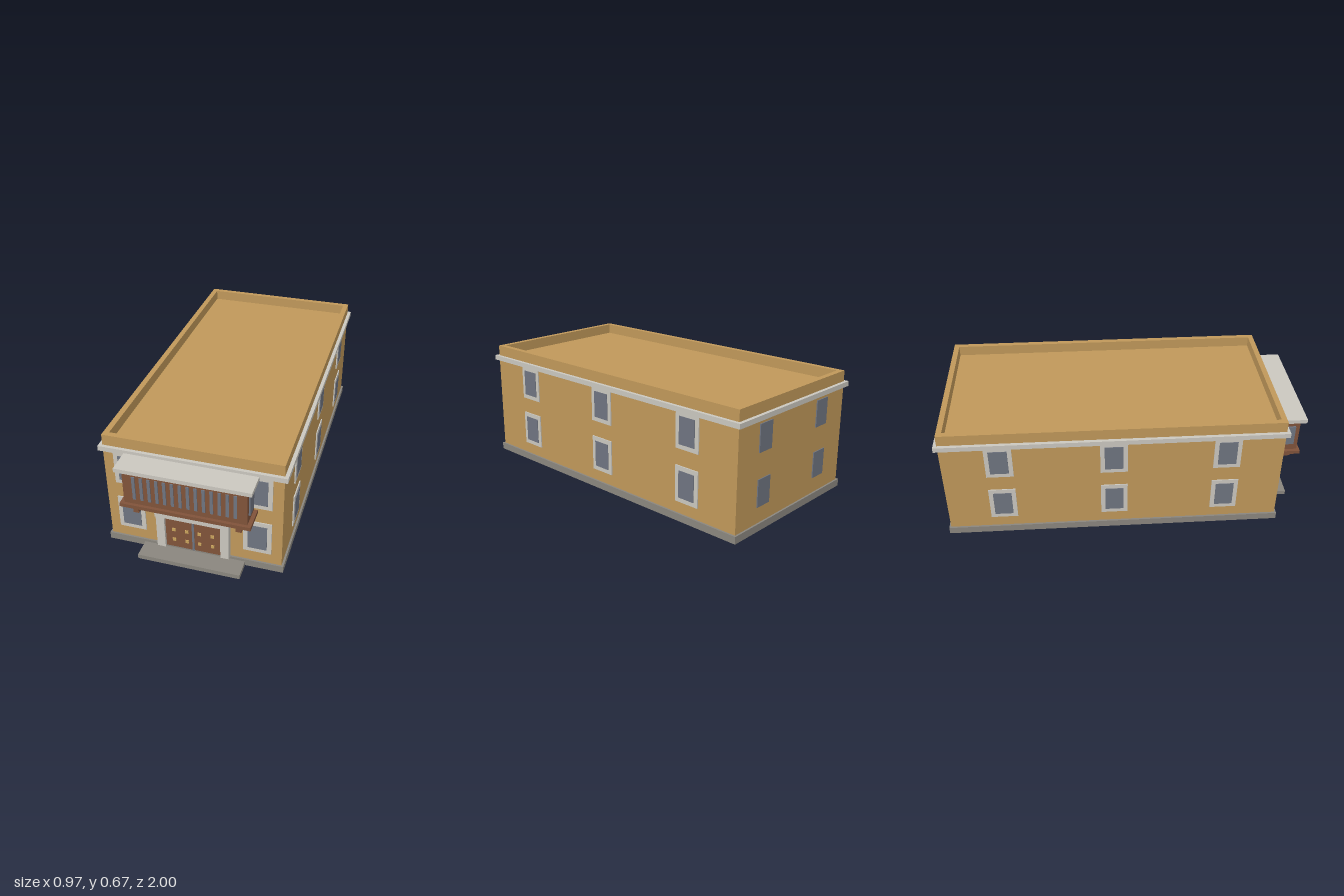
import * as THREE from 'three';

const mat = (name, color) => {
  const m = new THREE.MeshStandardMaterial({ color });
  m.name = name;
  return m;
};

export function createModel() {
  const model = new THREE.Group();
  model.name = 'building';
  const wall = mat('ochre wall', 0xc0985a);
  const stone = mat('pale stone', 0xcac7bf);
  const base = mat('grey base', 0x8a867e);
  const wood = mat('brown wood', 0x80533a);
  const glass = mat('grey glass', 0x6f7480);
  const brass = mat('brass', 0xc9a35c);

  // Box given by its minimum and maximum on each axis
  const box = (name, material, x0, x1, y0, y1, z0, z1, parent = model) => {
    const mesh = new THREE.Mesh(new THREE.BoxGeometry(x1 - x0, y1 - y0, z1 - z0), material);
    mesh.position.set((x0 + x1) / 2, (y0 + y1) / 2, (z0 + z1) / 2);
    mesh.name = name;
    parent.add(mesh);
    return mesh;
  };

  const W = 0.465, front = 0.853, back = -0.981, mid = (front + back) / 2;

  // Main block
  box('plinth', base, -0.476, 0.476, 0, 0.04, back - 0.01, front + 0.01);
  box('frontStep', base, -0.275, 0.275, 0, 0.025, front, 0.967);
  box('walls', wall, -W, W, 0.04, 0.6, back, front);
  box('cornice', stone, -0.484, 0.484, 0.586, 0.613, -1, 0.871);
  box('roof', wall, -W, W, 0.6, 0.615, back, front);

  // Parapet ring around the flat roof
  const t = 0.03;
  for (const s of [-1, 1]) {
    const x = s * (W - t / 2);
    box('parapetSide', wall, x - t / 2, x + t / 2, 0.615, 0.673, back, front);
  }
  box('parapetFront', wall, -W + t, W - t, 0.615, 0.673, front - t, front);
  box('parapetBack', wall, -W + t, W - t, 0.615, 0.673, back, back + t);

  // Windows: a thin frame plate with a slightly prouder pane
  const addWindow = (x, y, z, turn, framed) => {
    const g = new THREE.Group();
    g.name = 'window';
    if (framed) box('windowFrame', stone, -0.0735, 0.0735, -0.098, 0.098, -0.004, 0.006, g);
    box('windowPane', glass, -0.05, 0.05, -0.0735, 0.0735, -0.003, framed ? 0.009 : 0.006, g);
    g.position.set(x, y, z);
    g.rotation.y = turn;
    model.add(g);
  };
  for (const y of [0.203, 0.49]) {
    for (const s of [-1, 1]) {
      addWindow(s * 0.337, y, front, 0, true);
      addWindow(s * 0.25, y, back, Math.PI, false);
      for (const dz of [-0.611, 0, 0.611]) addWindow(s * W, y, mid + dz, s * Math.PI / 2, true);
    }
  }

  // Entrance with double doors
  const entrance = new THREE.Group();
  entrance.name = 'entrance';
  model.add(entrance);
  box('lintel', stone, -0.198, 0.198, 0.241, 0.282, front, 0.892, entrance);
  box('doorGap', glass, -0.006, 0.006, 0.04, 0.241, front, 0.873, entrance);
  for (const s of [-1, 1]) {
    const pillar = box('doorPillar', stone, -0.0225, 0.0225, 0.04, 0.241, front, 0.886, entrance);
    pillar.position.x = s * 0.172;
    const leaf = box('doorLeaf', wood, -0.072, 0.072, 0.04, 0.241, front, 0.869, entrance);
    leaf.position.x = s * 0.078;
    for (const x of [0.034, 0.104]) for (const y of [0.091, 0.158]) {
      const stud = box('doorStud', brass, -0.009, 0.009, y - 0.009, y + 0.009, 0.868, 0.874, entrance);
      stud.position.x = s * x;
    }
  }

  // Enclosed balcony
  const balcony = new THREE.Group();
  balcony.name = 'balcony';
  model.add(balcony);
  box('balconyFloor', wood, -0.336, 0.336, 0.357, 0.377, front, 0.989, balcony);
  box('balconyBody', wood, -0.316, 0.316, 0.377, 0.575, front, 0.973, balcony);
  box('balconyRoof', stone, -0.345, 0.345, 0.575, 0.597, front, 1, balcony);
  for (let i = 0; i < 14; i++) {
    const x = -0.258 + i * 0.516 / 13;
    box('balconySlot', glass, x - 0.008, x + 0.008, 0.408, 0.544, 0.97, 0.978, balcony);
  }
  for (const s of [-1, 1]) {
    const pane = box('balconySidePane', glass, -0.005, 0.005, 0.418, 0.536, 0.884, 0.949, balcony);
    pane.position.x = s * 0.32;
    const bracket = box('balconyBracket', wood, -0.0145, 0.0145, 0.303, 0.353, front, 0.954, balcony);
    bracket.position.x = s * 0.267;
  }
  return model;
}
